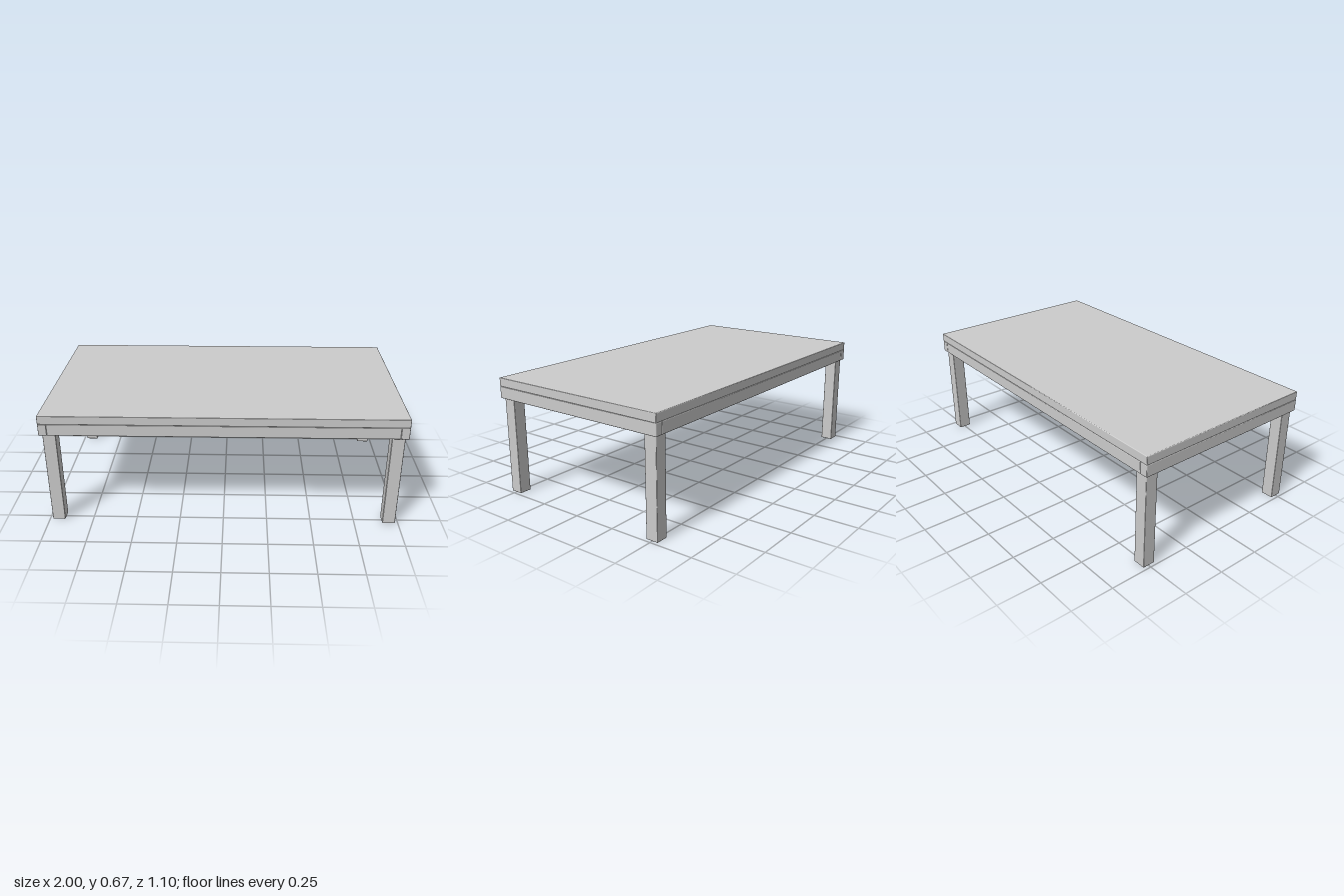
import * as THREE from 'three';
import { RoundedBoxGeometry } from 'three/addons/geometries/RoundedBoxGeometry.js';

export function createModel() {
  const table = new THREE.Group();
  table.name = 'table';
  const material = new THREE.MeshStandardMaterial({ color: 0xcccccc });

  // Board with slightly eased edges, placed by its centre
  const board = (name, size, position) => {
    const mesh = new THREE.Mesh(new RoundedBoxGeometry(...size, 2, 0.004), material);
    mesh.name = name;
    mesh.position.set(...position);
    table.add(mesh);
  };

  const halfDepth = 0.549, height = 0.667;
  const legHeight = 0.551, legWidth = 0.072;
  const railTop = 0.618, railWidth = 0.047;
  const railHeight = railTop - legHeight;
  const railY = (railTop + legHeight) / 2;

  // Table top
  board('tableTop', [2, height - railTop, halfDepth * 2], [0, (height + railTop) / 2, 0]);

  // Side rails run the full depth; front and back rails fit between them
  for (const [side, s] of [['left', 1], ['right', -1]]) {
    board(side + 'Rail', [railWidth, railHeight, halfDepth * 2], [s * (1 - railWidth / 2), railY, 0]);
  }
  for (const [end, s] of [['front', 1], ['back', -1]]) {
    board(end + 'Rail', [2 - railWidth * 2, railHeight, railWidth], [0, railY, s * (halfDepth - railWidth / 2)]);
  }

  // Four square legs under the rails
  for (const [end, z] of [['front', 1], ['back', -1]]) {
    for (const [side, x] of [['Left', 1], ['Right', -1]]) {
      board(end + side + 'Leg', [legWidth, legHeight, legWidth], [x * 0.947, legHeight / 2, z * 0.498]);
    }
  }
  return table;
}
